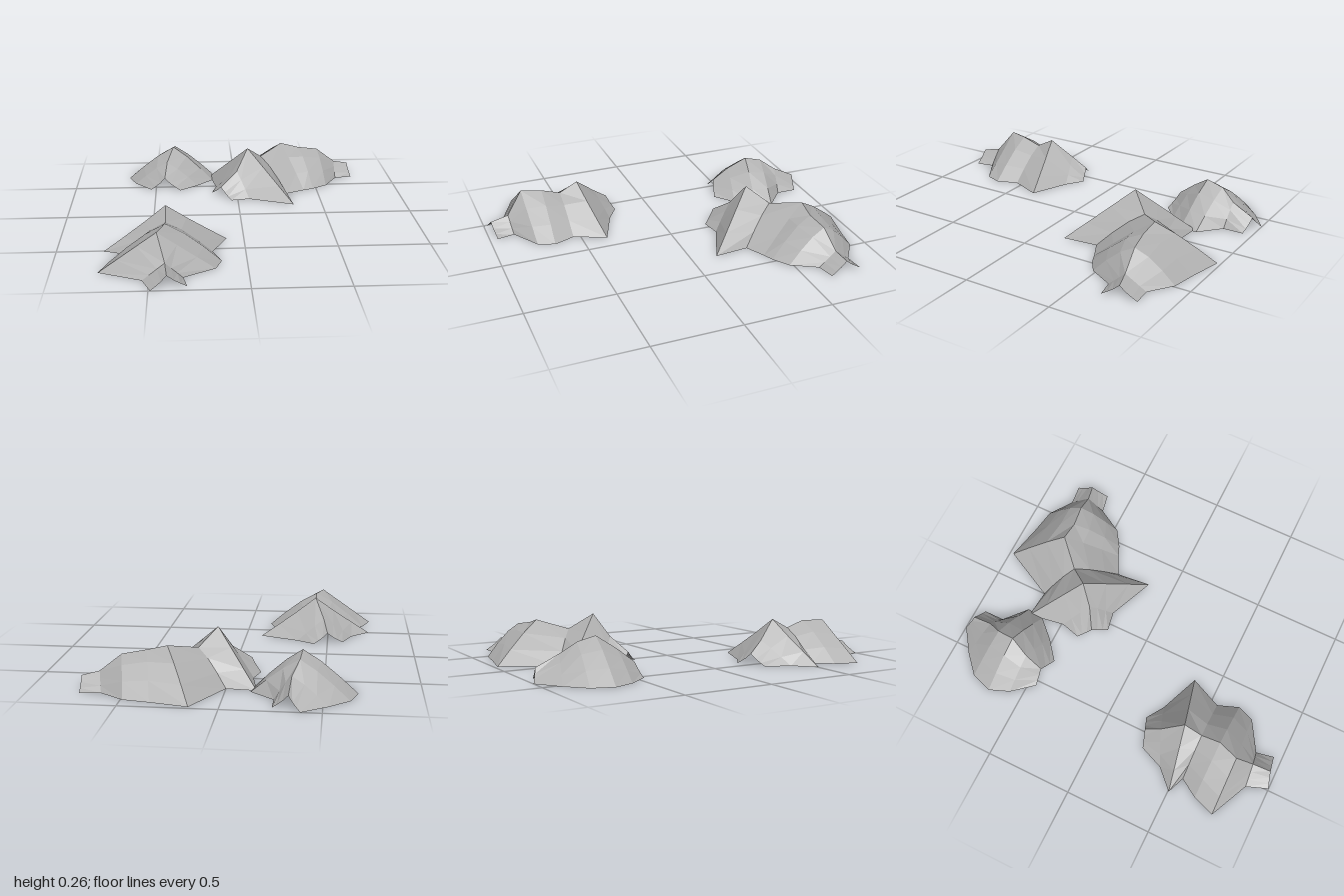
import * as THREE from 'three';

const stone = new THREE.MeshStandardMaterial({ color: 0xb0b0b0, flatShading: true, side: THREE.DoubleSide });
stone.name = 'grey stone';

// steps from ridge to ground on each side of a cross-section
const STEPS = [-1, -0.68, -0.34, 0, 0.34, 0.68, 1];

// Open shell of folded cross-sections.
// Row: [left x, left z, ridge x, ridge y, ridge z, right x, right z, curve]
// curve 1 = straight slope, above 1 = domed, below 1 = pinched
function shell(name, rows) {
  const pos = [], index = [], n = STEPS.length;
  rows.forEach(([lx, lz, px, py, pz, rx, rz, curve], i) => {
    STEPS.forEach((s, j) => {
      const t = Math.abs(s);
      const [bx, bz] = s < 0 ? [lx, lz] : [rx, rz];
      pos.push(px + (bx - px) * t, py * (1 - Math.pow(t, curve)), pz + (bz - pz) * t);
      if (i < rows.length - 1 && j < n - 1) {
        const a = i * n + j, b = a + 1, c = a + n, d = c + 1;
        // mirror the diagonal about the ridge
        if (j < n / 2 - 1) index.push(a, b, c, b, d, c);
        else index.push(a, b, d, a, d, c);
      }
    });
  });
  let geo = new THREE.BufferGeometry();
  geo.setAttribute('position', new THREE.Float32BufferAttribute(pos, 3));
  geo.setIndex(index);
  geo = geo.toNonIndexed();
  geo.computeVertexNormals();
  const mesh = new THREE.Mesh(geo, stone);
  mesh.name = name;
  return mesh;
}

export function createModel() {
  const group = new THREE.Group();
  group.name = 'rockMounds';

  // front mound with two sharp cross fins
  group.add(shell('frontMound', [
    [-0.49, 1.0, -0.41, 0.065, 0.97, -0.31, 0.955, 0.8],
    [-0.535, 0.88, -0.42, 0.085, 0.865, -0.33, 0.855, 1],
    [-0.76, 0.775, -0.46, 0.21, 0.77, -0.165, 0.755, 1],
    [-0.715, 0.65, -0.42, 0.21, 0.655, -0.13, 0.66, 1.25],
    [-0.65, 0.545, -0.42, 0.175, 0.545, -0.175, 0.54, 1.3],
    [-0.75, 0.505, -0.42, 0.23, 0.44, -0.095, 0.36, 0.95],
    [-0.645, 0.40, -0.475, 0.125, 0.32, -0.32, 0.27, 1.1],
    [-0.59, 0.265, -0.50, 0.06, 0.235, -0.42, 0.205, 0.8],
  ]));

  // large mound
  group.add(shell('largeMound', [
    [0.755, -0.64, 0.74, 0.065, -0.735, 0.73, -0.83, 0.8],
    [0.65, -0.62, 0.65, 0.085, -0.715, 0.62, -0.82, 1],
    [0.57, -0.48, 0.535, 0.175, -0.70, 0.49, -0.91, 1.4],
    [0.48, -0.42, 0.41, 0.195, -0.68, 0.35, -0.935, 1.5],
    [0.42, -0.395, 0.30, 0.222, -0.685, 0.15, -0.98, 1.15],
    [0.31, -0.34, 0.16, 0.178, -0.55, 0, -0.685, 1.3],
    [0.33, -0.145, 0.07, 0.265, -0.44, -0.16, -0.70, 1],
    [0.07, -0.255, 0, 0.14, -0.37, -0.125, -0.49, 1.1],
    [-0.04, -0.235, -0.10, 0.06, -0.31, -0.155, -0.38, 0.8],
  ]));

  // small rounded mound at the back
  group.add(shell('smallMound', [
    [-0.53, -0.455, -0.445, 0.07, -0.46, -0.35, -0.43, 0.8],
    [-0.63, -0.575, -0.43, 0.145, -0.555, -0.24, -0.52, 1.2],
    [-0.675, -0.69, -0.39, 0.215, -0.655, -0.145, -0.62, 1.2],
    [-0.635, -0.81, -0.38, 0.19, -0.755, -0.13, -0.72, 1.2],
    [-0.53, -0.905, -0.345, 0.13, -0.84, -0.255, -0.83, 1.2],
    [-0.395, -1.0, -0.335, 0.07, -0.965, -0.255, -0.945, 0.8],
  ]));

  return group;
}
